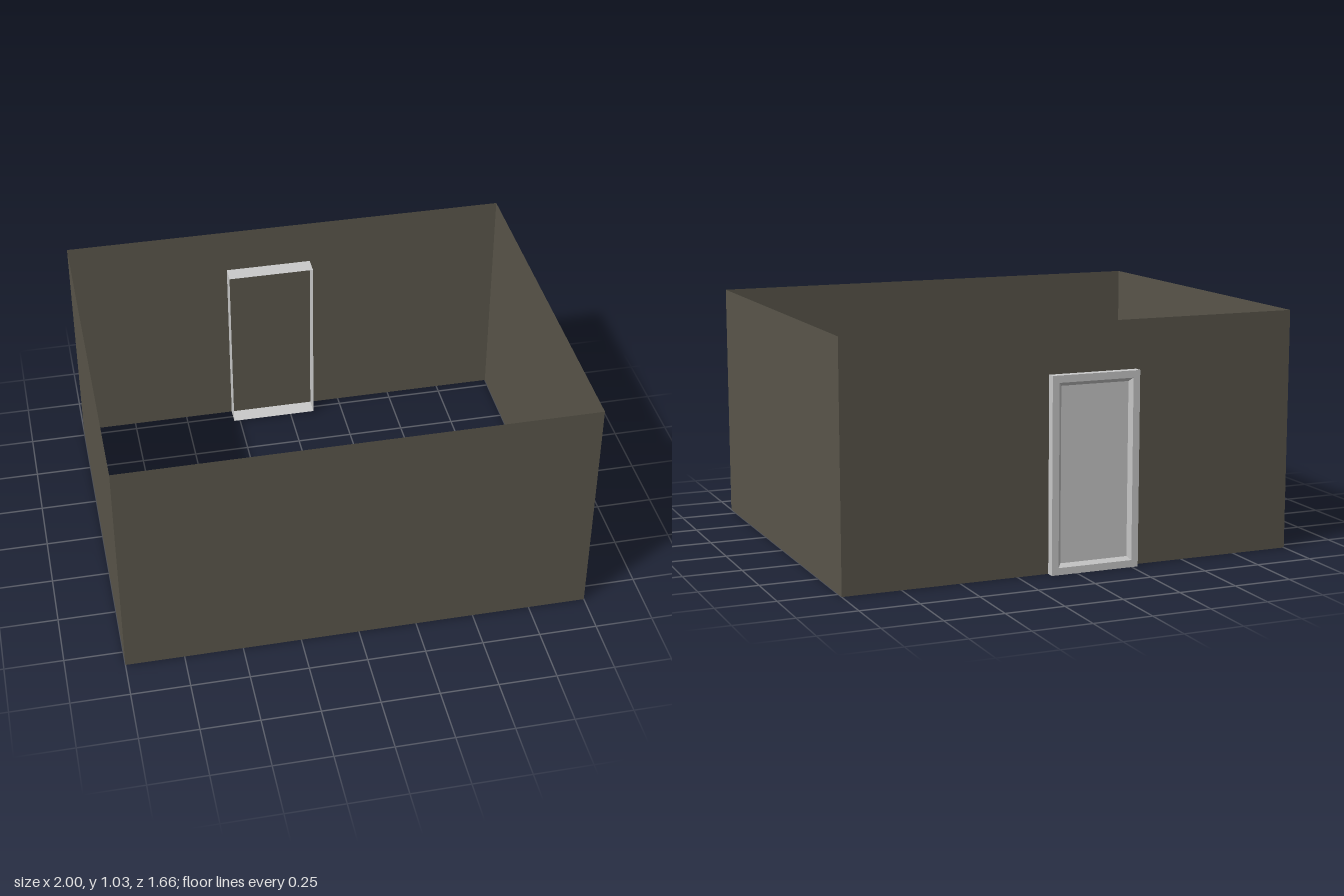
import * as THREE from 'three';

const wallPaint = new THREE.MeshStandardMaterial({ color: 0x5a564b, side: THREE.DoubleSide });
wallPaint.name = 'wallPaint';
const doorPaint = new THREE.MeshStandardMaterial({ color: 0xcacaca, side: THREE.DoubleSide });
doorPaint.name = 'doorPaint';

// Joins a row of four-cornered rings with flat faces; can close the last ring.
function loft(name, rings, material, capEnd = false) {
  const points = [];
  const quad = (a, b, c, d) => points.push(...a, ...b, ...c, ...a, ...c, ...d);
  for (let r = 0; r < rings.length - 1; r++) {
    const [a, b] = [rings[r], rings[r + 1]];
    for (let i = 0; i < 4; i++) {
      const j = (i + 1) % 4;
      quad(a[i], b[i], b[j], a[j]);
    }
  }
  if (capEnd) {
    const [a, b, c, d] = rings[rings.length - 1];
    quad(a, d, c, b);
  }
  const geometry = new THREE.BufferGeometry();
  geometry.setAttribute('position', new THREE.Float32BufferAttribute(points, 3));
  geometry.computeVertexNormals();
  const mesh = new THREE.Mesh(geometry, material);
  mesh.name = name;
  return mesh;
}

export function createModel() {
  const model = new THREE.Group();
  model.name = 'roomWithDoor';

  // Four thin walls, open above and below
  const zFront = 0.828, zBack = -0.792;
  const wallRing = (y) => [[1, y, zFront], [-1, y, zFront], [-1, y, zBack], [1, y, zBack]];
  model.add(loft('walls', [wallRing(0), wallRing(1.03)], wallPaint));

  // Door casing: a sleeve through the back wall, open on the room side
  const x0 = -0.278, x1 = 0.113, top = 0.825;
  const doorRing = (inset, z) => [
    [x0 + inset, inset, z], [x1 - inset, inset, z],
    [x1 - inset, top - inset, z], [x0 + inset, top - inset, z],
  ];
  const outer = -0.828, panelZ = -0.812;
  const door = new THREE.Group();
  door.name = 'door';
  door.add(loft('doorFrame', [
    doorRing(0, -0.715),
    doorRing(0, outer),
    doorRing(0.03, outer),
    doorRing(0.045, panelZ),
  ], doorPaint));

  // Recessed door leaf
  door.add(loft('doorPanel', [doorRing(0.045, panelZ)], doorPaint, true));
  model.add(door);

  return model;
}
